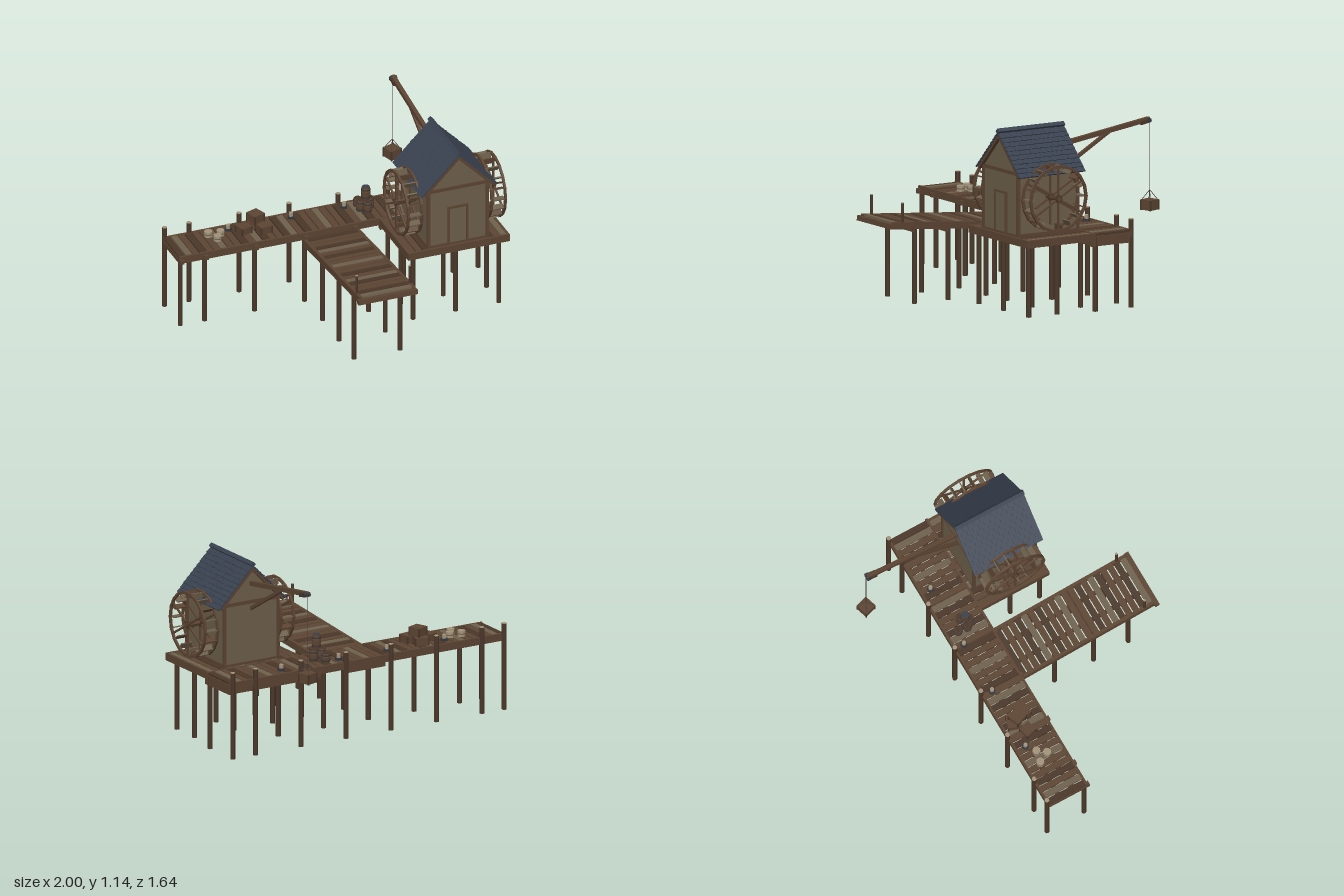
import * as THREE from 'three';

const mat = (name, color) => Object.assign(new THREE.MeshStandardMaterial({ color, flatShading: true }), { name });

export function createModel() {
  const wood = mat('wood', 0x5c4432), dark = mat('dark wood', 0x4a3628), grey = mat('weathered plank', 0x6e604c);
  const wall = mat('wall board', 0x6c5f4a), cream = mat('cut wood', 0xa3947a), slate = mat('slate', 0x39414f);
  const iron = mat('iron', 0x33373f), rope = mat('rope', 0x4b4238);
  const root = new THREE.Group();
  root.name = 'millOnPier';
  let seed = 7;
  const rnd = () => (seed = (seed * 16807) % 2147483647) / 2147483647;

  const group = (name, x = 0, y = 0, z = 0, parent = root) => {
    const g = new THREE.Group();
    g.name = name;
    g.position.set(x, y, z);
    parent.add(g);
    return g;
  };
  const add = (p, name, geo, m, x = 0, y = 0, z = 0) => {
    const mesh = new THREE.Mesh(geo, m);
    mesh.name = name;
    mesh.position.set(x, y, z);
    p.add(mesh);
    return mesh;
  };
  // Box given by its low and high corners
  const box = (p, name, m, x0, x1, y0, y1, z0, z1) =>
    add(p, name, new THREE.BoxGeometry(x1 - x0, y1 - y0, z1 - z0), m, (x0 + x1) / 2, (y0 + y1) / 2, (z0 + z1) / 2);
  const cyl = (p, name, m, r, y0, y1, x, z, n = 8) =>
    add(p, name, new THREE.CylinderGeometry(r, r, y1 - y0, n), m, x, (y0 + y1) / 2, z);
  // Square bar between two points
  const bar = (p, name, m, a, b, w, d = w) => {
    const A = new THREE.Vector3(...a), B = new THREE.Vector3(...b), dir = B.clone().sub(A);
    const mesh = add(p, name, new THREE.BoxGeometry(w, dir.length(), d), m);
    mesh.position.copy(A).lerp(B, 0.5);
    mesh.quaternion.setFromUnitVectors(new THREE.Vector3(0, 1, 0), dir.normalize());
    return mesh;
  };
  const post = (p, x, z, top, capped) => {
    cyl(p, 'post', dark, 0.016, 0, top, x, z);
    if (capped) cyl(p, 'postTop', cream, 0.015, top, top + 0.003, x, z);
  };
  const plankMat = i => (i % 5 === 0 ? grey : i % 3 === 1 ? dark : wood);

  // Long pier
  const pier = group('pier');
  const P = 0.0463;
  for (let i = 0; i < 43; i++) {
    const x = -0.995 + i * P, j = rnd() * 0.004;
    box(pier, 'plank', plankMat(i + 4), x, x + P - 0.007, 0.471, 0.483 + j, -0.412, -0.158);
  }
  for (const z of [-0.417, -0.151]) box(pier, 'edgeBeam', wood, -0.998, 0.998, 0.44, 0.487, z - 0.007, z + 0.007);
  for (const z of [-0.33, -0.24]) box(pier, 'stringer', dark, -0.99, 0.99, 0.44, 0.471, z - 0.012, z + 0.012);
  for (const x of [-0.985, -0.825, -0.495, -0.165, 0.16, 0.487, 0.815, 0.98]) {
    box(pier, 'crossBeam', wood, x - 0.014, x + 0.014, x > 0.3 ? 0.407 : 0.44, 0.47, -0.41, -0.13);
    post(pier, x, -0.425, 0.55, true);
    post(pier, x, -0.165, 0.46, false);
  }
  for (const z of [-0.155, -0.39]) {
    box(pier, 'lowBeam', wood, 0.325, 0.985, 0.407, 0.44, z - 0.012, z + 0.012);
    box(pier, 'lowBeam', wood, -0.14, 0.14, 0.407, 0.44, z - 0.012, z + 0.012);
  }
  for (const x of [-0.595, -0.18, 0.17, 0.585]) {
    cyl(pier, 'mooringBase', iron, 0.022, 0.484, 0.5, x, -0.355);
    cyl(pier, 'mooringPeg', cream, 0.013, 0.5, 0.525, x, -0.355);
  }

  // Platform under the house
  const deck = group('housePlatform');
  for (let i = 0; i < 14; i++) {
    const x = 0.333 + i * 0.0465;
    box(deck, 'plank', plankMat(i + 2), x, x + 0.04, 0.471, 0.483 + rnd() * 0.004, -0.144, 0.323);
  }
  box(deck, 'edgeBeam', wood, 0.32, 0.99, 0.44, 0.487, 0.32, 0.335);
  for (const x of [0.328, 0.982]) box(deck, 'sideBeam', wood, x - 0.008, x + 0.008, 0.44, 0.487, -0.144, 0.32);
  for (const z of [-0.08, 0.09, 0.28]) box(deck, 'stringer', dark, 0.33, 0.98, 0.44, 0.471, z - 0.013, z + 0.013);
  for (const x of [0.37, 0.65, 0.935]) {
    box(deck, 'crossBeam', dark, x - 0.012, x + 0.012, 0.44, 0.468, -0.14, 0.32);
    for (const z of [0.29, 0.085]) post(deck, x, z, 0.46, false);
  }

  // Jetty that rises gently to the front
  const jetty = group('jetty', 0, 0.487, 0.33);
  jetty.rotation.x = -0.083;
  for (let i = 0; i < 20; i++) {
    const z = -0.475 + i * 0.0468;
    box(jetty, 'plank', i % 5 === 4 ? grey : plankMat(i + 1 + (i % 5 === 4)), -0.166, 0.166, -0.016, -0.004 + rnd() * 0.004, z, z + 0.039);
  }
  for (const x of [-0.175, 0.175]) box(jetty, 'sideBeam', wood, x - 0.01, x + 0.01, -0.043, 0, -0.475, 0.465);
  for (const x of [-0.07, 0.07]) box(jetty, 'stringer', dark, x - 0.011, x + 0.011, -0.043, -0.016, -0.475, 0.465);
  box(jetty, 'endBeam', wood, -0.197, 0.192, -0.043, -0.012, 0.455, 0.485);
  for (const z of [0.05, 0.29]) box(jetty, 'crossBeam', wood, -0.165, 0.165, -0.065, -0.04, z - 0.012, z + 0.012);
  const jettyPosts = group('jettyPosts');
  for (const x of [-0.152, 0.152]) {
    for (const [z, top] of [[0.62, 0.485], [0.375, 0.465], [0.1, 0.45]]) post(jettyPosts, x, z, top, false);
    cyl(jettyPosts, 'mooringPost', dark, 0.009, 0.48, 0.638, x * 1.15, 0.722);
    cyl(jettyPosts, 'mooringPostTop', cream, 0.0085, 0.638, 0.641, x * 1.15, 0.722);
  }

  // House, with x measured from its middle
  const house = group('house', 0.655);
  const gable = new THREE.Shape([[-0.195, 0.485], [0.195, 0.485], [0.195, 0.89], [0, 1.085], [-0.195, 0.89]].map(a => new THREE.Vector2(...a)));
  add(house, 'walls', new THREE.ExtrudeGeometry(gable, { depth: 0.43, bevelEnabled: false }), wall, 0, 0, -0.12);
  for (const s of [-1, 1]) {
    for (const z of [-0.119, 0.311]) box(house, 'cornerTimber', wood, s * 0.193 - 0.009, s * 0.193 + 0.009, 0.485, 0.885, z - 0.009, z + 0.009);
    box(house, 'wallPlate', wood, s * 0.195 - 0.008, s * 0.195 + 0.008, 0.862, 0.885, -0.12, 0.31);
    box(house, 'sill', wood, s * 0.195 - 0.007, s * 0.195 + 0.007, 0.485, 0.505, -0.12, 0.31);
  }
  for (const z of [-0.12, 0.31]) {
    box(house, 'tieBeam', wood, -0.205, 0.205, 0.868, 0.89, z - 0.009, z + 0.009);
    box(house, 'sill', wood, -0.2, 0.2, 0.485, 0.5, z - 0.006, z + 0.006);
  }
  box(house, 'door', wall, -0.055, 0.055, 0.49, 0.735, 0.31, 0.315);
  for (const x of [-0.061, 0.061]) box(house, 'doorPost', wood, x - 0.006, x + 0.006, 0.487, 0.75, 0.309, 0.321);
  box(house, 'doorLintel', wood, -0.067, 0.067, 0.738, 0.752, 0.309, 0.322);

  // Roof: a board on each slope with overlapping rows of slates
  for (const s of [-1, 1]) {
    const slope = group('roofSlope', 0, 1.098, 0.097, house);
    slope.rotation.z = -s * 0.79;
    const L = 0.325;
    box(slope, 'roofBoard', wood, Math.min(0, s * L), Math.max(0, s * L), -0.014, 0.003, -0.236, 0.236);
    for (let r = 0; r < 10; r++) {
      for (let k = 0; k < 12; k++) {
        const w = 0.482 / 12, off = (r % 2) * 0.5;
        const z0 = Math.max(-0.241, -0.241 + (k - off) * w), z1 = k === 11 ? 0.241 : -0.241 + (k + 1 - off) * w;
        const tile = add(slope, 'slate', new THREE.BoxGeometry(0.042, 0.008, z1 - z0 - 0.0015), slate, s * (0.017 + r * 0.0337), 0.009 + rnd() * 0.002, (z0 + z1) / 2);
        tile.rotation.z = s * 0.13;
      }
    }
  }
  const ridge = box(house, 'ridgeCap', slate, -0.013, 0.013, 1.107, 1.133, -0.145, 0.34);
  ridge.rotation.z = Math.PI / 4;

  // Water wheels on both sides
  const rimProfile = [[0.193, -0.007], [0.21, -0.007], [0.21, 0.007], [0.193, 0.007], [0.193, -0.007]].map(a => new THREE.Vector2(...a));
  const rimGeo = new THREE.LatheGeometry(rimProfile, 18).rotateZ(Math.PI / 2);
  for (const s of [-1, 1]) {
    const wheel = group(s < 0 ? 'rightWaterWheel' : 'leftWaterWheel', s * 0.275, 0.725, 0.1, house);
    for (const x of [-0.045, 0.045]) {
      add(wheel, 'rim', rimGeo, wood, x);
      for (let i = 0; i < 3; i++) {
        const a = i * Math.PI / 3, y = 0.197 * Math.cos(a), z = 0.197 * Math.sin(a);
        bar(wheel, 'spoke', wood, [x, -y, -z], [x, y, z], 0.011);
      }
      add(wheel, 'hub', new THREE.CylinderGeometry(0.024, 0.024, 0.02, 10).rotateZ(Math.PI / 2), dark, x);
    }
    for (let i = 0; i < 18; i++) {
      const paddle = group('paddle', 0, 0, 0, wheel);
      paddle.rotation.x = (i + 0.5) * Math.PI / 9;
      box(paddle, 'paddleBoard', i % 3 ? grey : wood, -0.04, 0.04, 0.168, 0.207, -0.004, 0.004);
    }
    add(wheel, 'axle', new THREE.CylinderGeometry(0.015, 0.015, 0.15, 8).rotateZ(Math.PI / 2), wood, -s * 0.015);
  }

  // Hoist at the back
  const hoist = group('hoist', 0.655);
  bar(hoist, 'jib', wood, [0, 0.985, -0.05], [0, 1.092, -0.765], 0.026, 0.028);
  bar(hoist, 'strut', wood, [0, 0.835, -0.12], [0, 1.04, -0.47], 0.02);
  bar(hoist, 'jibCheeks', dark, [0, 1.072, -0.7], [0, 1.085, -0.768], 0.04, 0.022);
  add(hoist, 'pulley', new THREE.CylinderGeometry(0.014, 0.014, 0.046, 8).rotateZ(Math.PI / 2), iron, 0, 1.086, -0.757);
  cyl(hoist, 'hoistRope', rope, 0.0022, 0.645, 1.085, 0, -0.77, 5);
  const crate = (p, x, y, z, w, h, turn) => {
    const g = group('crate', x, y, z, p);
    g.rotation.y = turn;
    box(g, 'crateBody', wood, -w / 2, w / 2, 0.001, h - 0.004, -w / 2, w / 2);
    const e = w / 2;
    for (const i of [-1, 1]) for (const k of [-1, 1]) box(g, 'crateBatten', dark, i * e - 0.004, i * e + 0.004, 0, h - 0.002, k * e - 0.004, k * e + 0.004);
    box(g, 'crateLid', wood, -e - 0.003, e + 0.003, h - 0.009, h, -e - 0.003, e + 0.003);
    return g;
  };
  const load = crate(hoist, 0, 0.525, -0.77, 0.076, 0.065, 0.3);
  for (const i of [-1, 1]) for (const k of [-1, 1]) bar(load, 'sling', rope, [i * 0.035, 0.064, k * 0.035], [0, 0.125, 0], 0.003);

  // Goods on the pier
  const goods = group('goods');
  crate(goods, -0.515, 0.485, -0.295, 0.068, 0.048, 0.25);
  crate(goods, -0.43, 0.485, -0.345, 0.08, 0.052, -0.3);
  crate(goods, -0.395, 0.485, -0.262, 0.074, 0.05, 0.12);
  crate(goods, -0.428, 0.537, -0.318, 0.076, 0.056, 0.35);
  const barrel = (x, y, z, r, h, lid) => {
    const g = group('barrel', x, y, z, goods);
    const pts = [[0, 0], [0.82, 0], [1, 0.35], [1, 0.65], [0.82, 1], [0, 1]].map(a => new THREE.Vector2(a[0] * r, a[1] * h));
    add(g, 'staves', new THREE.LatheGeometry(pts, 10), wood);
    for (const t of [0.2, 0.8]) cyl(g, 'hoop', iron, r * 0.96, h * t - 0.004, h * t + 0.004, 0, 0, 10);
    cyl(g, 'lid', lid, r * 0.74, h, h + 0.003, 0, 0, 10);
  };
  barrel(0.258, 0.485, -0.347, 0.03, 0.055, dark);
  barrel(0.25, 0.485, -0.285, 0.028, 0.075, dark);
  barrel(0.318, 0.485, -0.3, 0.028, 0.075, dark);
  barrel(0.285, 0.485, -0.25, 0.028, 0.075, dark);
  barrel(0.285, 0.562, -0.282, 0.03, 0.086, slate);
  for (const [x, z] of [[-0.735, -0.33], [-0.66, -0.315], [-0.7, -0.262]]) {
    cyl(goods, 'sack', cream, 0.025, 0.485, 0.522, x, z, 9);
    cyl(goods, 'sackTie', grey, 0.0262, 0.5, 0.506, x, z, 9);
  }
  return root;
}
